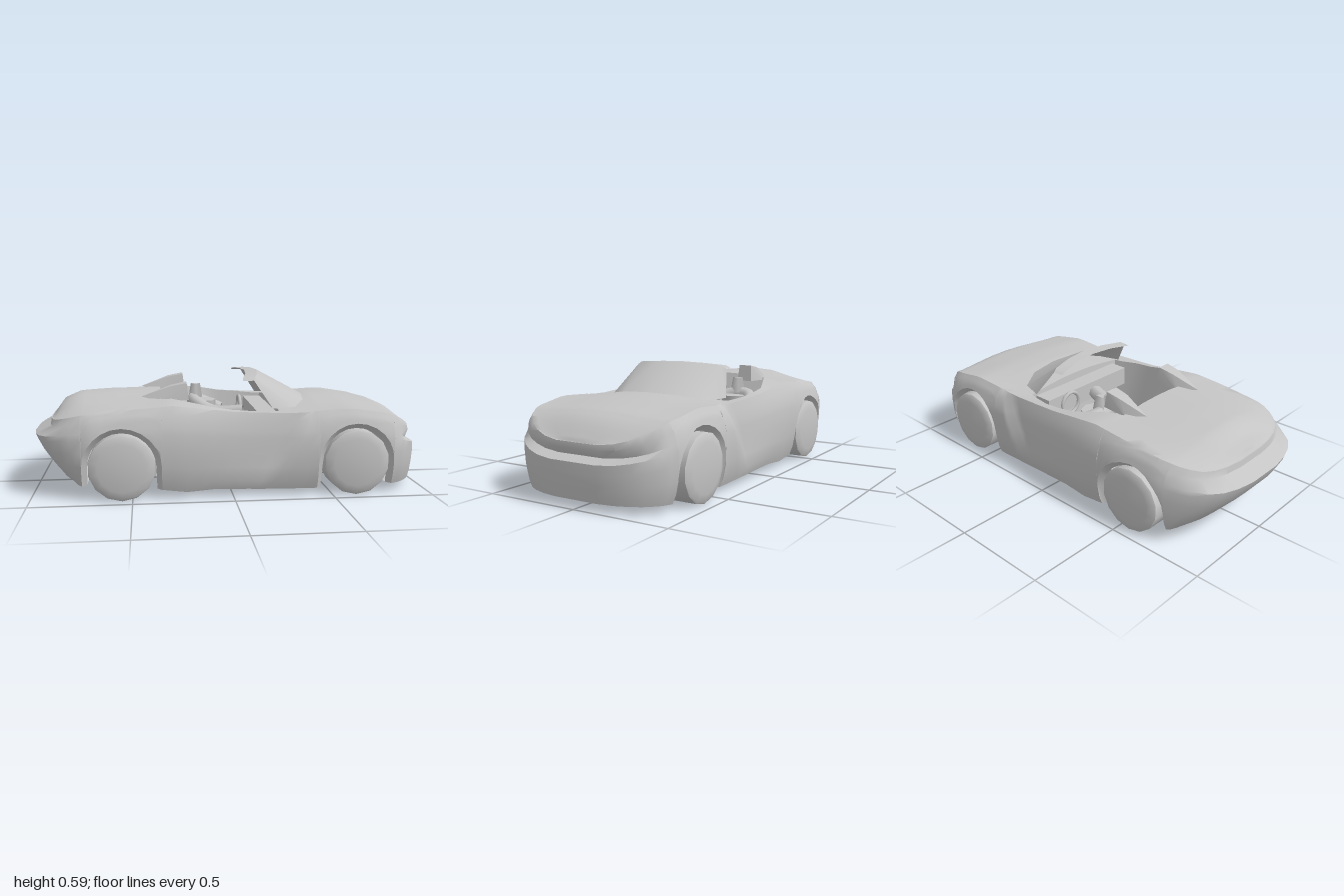
import * as THREE from 'three';
import { toCreasedNormals } from 'three/addons/utils/BufferGeometryUtils.js';

const paint = new THREE.MeshStandardMaterial({ color: 0xc4c4c4, side: THREE.DoubleSide });
paint.name = 'silver grey';

const V = (x, y, z) => new THREE.Vector3(x, y, z);

// Piecewise linear curve through [x, value] knots
function along(knots, x) {
  if (x <= knots[0][0]) return knots[0][1];
  for (let i = 1; i < knots.length; i++) {
    const [x0, a] = knots[i - 1], [x1, b] = knots[i];
    if (x <= x1) return a + (b - a) * (x - x0) / (x1 - x0);
  }
  return knots[knots.length - 1][1];
}

function mesh(name, geometry, x = 0, y = 0, z = 0) {
  const m = new THREE.Mesh(geometry, paint);
  m.name = name;
  m.position.set(x, y, z);
  return m;
}

function quadMesh(name, quads, crease = 0.8) {
  const pos = [];
  for (const [a, b, c, d] of quads)
    for (const p of [a, b, c, a, c, d]) pos.push(p.x, p.y, p.z);
  const g = new THREE.BufferGeometry();
  g.setAttribute('position', new THREE.Float32BufferAttribute(pos, 3));
  return mesh(name, toCreasedNormals(g, crease));
}

// Body curves along the length (nose at +x)
const halfWidth = [[-1, .1], [-.985, .2], [-.96, .28], [-.92, .345], [-.86, .39], [-.8, .42], [-.7, .452], [-.45, .46],
  [-.2, .455], [0, .45], [.3, .447], [.62, .452], [.76, .448], [.83, .432], [.88, .40], [.93, .345], [.96, .29], [.985, .22], [1, .13]];
const shoulder = [[-1, .37], [-.85, .40], [-.7, .425], [-.5, .445], [-.3, .46], [-.2, .45], [0, .425], [.2, .413],
  [.4, .42], [.6, .432], [.8, .40], [.9, .36], [1, .295]];
const haunch = [[-.8, 0], [-.5, .012], [-.3, .018], [0, .004], [.2, 0]];
const deck = [[-1, .385], [-.92, .45], [-.8, .48], [-.6, .49], [-.35, .49], [.24, .44], [.45, .457], [.6, .45], [.8, .42], [.9, .385], [1, .305]];
const sill = [[-.75, .07], [-.7, .06], [-.35, .045], [-.23, .03], [-.1, .04], [.4, .03], [.82, .04]];
// Section: height fractions and width factors up the side, then deck factors
const rise = [0, .12, .3, .5, .68, .76, .9, 1];
const side = [[0, .92], [.12, .96], [.3, .99], [.5, 1], [.68, .995], [.76, .98], [.9, .94], [1, .88]];
const crown = [0, .5, .9, 1];
const dentDepth = [0, 0, .6, 1, 1, .9, .6, 0];
const opening = [[-.6, .8], [-.35, .57], [-.1, .8], [.1, .8], [.24, .73], [.4, .8]];
// How far each row reaches at the nose and the tail
const frontReach = [.985, .99, .995, 1, 1, .945, .972, .97, .967, .965, .963, .963];
const rearReach = [.80, .86, .91, .96, .99, 1, .92, .915, .91, .905, .9, .9];
const wheels = [-.55, .62], WHEEL_Y = .165, ARCH = .195, LINER = .168;
const OPEN_BACK = -.35, OPEN_FRONT = .24, LIP = 9;

// Closed ring; inner is the [x, y] of the turned-in lower edge
function section(s, bottom, inner) {
  const w = along(halfWidth, s), top = along(shoulder, s), mid = along(deck, s), low = along(sill, s);
  const dent = along([[-.25, 0], [0, .018], [.24, .03], [.285, 0]], s);
  const slant = along([[.05, 0], [.24, .2], [.285, .2], [.42, 0]], s);
  const half = frontReach.map((reach, v) => {
    let x = s, y, z;
    if (v < 8) {
      y = bottom + (top - bottom) * rise[v];
      z = w * along(side, (y - low) / (top - low)) - dent * dentDepth[v];
      x += slant * (rise[v] - .5);
    } else {
      y = top + (mid - top) * crown[v - 8] + (v === 8 ? along(haunch, s) : 0);
      z = w * [along(opening, s), .5, .25, 0][v - 8];
    }
    if (s > .82) x = .82 + (s - .82) * (reach - .82) / .18;
    if (s < -.75) x = -.75 + (s + .75) * (rearReach[v] - .75) / .25;
    return V(x, y, z);
  });
  const edge = half[0];
  half.unshift(inner ? V(inner[0], inner[1], edge.z - .03) : V(edge.x, edge.y, edge.z - .03));
  return [...half, ...half.slice(0, -1).reverse().map(p => V(p.x, p.y, -p.z))];
}

// Stations: plain ones follow the sill, arch ones follow the wheel opening
function buildStations() {
  const list = [];
  const add = (s, y, inner, hollow = false) => list.push({ s, hollow, ring: section(s, y, inner) });
  const plain = xs => xs.forEach(x => add(x, along(sill, x)));
  const arch = cx => {
    const foot = x => add(x, along(sill, x), [cx + (x - cx) * .88, along(sill, x)]);
    foot(cx - ARCH);
    for (let i = 0; i <= 12; i++) {
      const a = Math.PI * (1 - i / 12), c = Math.cos(a), d = Math.sin(a);
      add(cx + ARCH * c, WHEEL_Y + ARCH * d, [cx + LINER * c, WHEEL_Y + LINER * d], true);
    }
    foot(cx + ARCH);
  };
  plain([-1, -.985, -.96, -.92, -.86, -.8]);
  arch(wheels[0]);
  plain([OPEN_BACK, -.3, -.23, -.1, 0, .1, .2, OPEN_FRONT, .285, .33, .38]);
  arch(wheels[1]);
  plain([.85, .88, .93, .96, .985, 1]);
  return list;
}

function buildBody() {
  const st = buildStations(), body = [], tub = [], n = st[0].ring.length, far = n - 1 - LIP;
  // Tub floor is shorter and narrower than the opening, so its walls slope
  const drop = p => V(.22 + (p.x - OPEN_FRONT) * .75, .15, p.z * .9);
  for (let i = 0; i + 1 < st.length; i++) {
    const a = st[i].ring, b = st[i + 1].ring;
    const open = st[i].s >= OPEN_BACK && st[i + 1].s <= OPEN_FRONT;
    const hollow = st[i].hollow || st[i + 1].hollow;
    for (let j = 0; j < n; j++) {
      if (open && j >= LIP && j < far) continue;
      if (hollow && j === n - 1) continue; // the shell is open below between the wheels
      const k = (j + 1) % n;
      body.push([a[j], b[j], b[k], a[k]]);
    }
    // Cockpit walls and floor
    if (open) {
      const loop = r => [r[LIP], drop(r[LIP]), drop(r[far]), r[far]];
      const p = loop(a), q = loop(b);
      for (let j = 0; j < 3; j++) tub.push([p[j], p[j + 1], q[j + 1], q[j]]);
    }
  }
  // Tail and nose closing strips, then the cockpit bulkheads
  const t = st[0].ring, f = st[st.length - 1].ring;
  for (let v = 0, m = n - 1; v < m; v++, m--)
    body.push([t[v], t[v + 1], t[m - 1], t[m]], [f[m], f[m - 1], f[v + 1], f[v]]);
  for (const x of [OPEN_BACK, OPEN_FRONT]) {
    const r = st.find(o => o.s === x).ring;
    for (let j = LIP; j < far; j++) tub.push([r[j], drop(r[j]), drop(r[j + 1]), r[j + 1]]);
  }
  return [quadMesh('bodyShell', body), quadMesh('cockpitTub', tub)];
}

// Windscreen with side wings swept back, and a header strip along its top
function buildScreen() {
  const base = [V(.42, .455, 0), V(.395, .447, .17), V(.33, .425, .285), V(.21, .425, .322)];
  const top = [V(.17, .59, 0), V(.158, .586, .13), V(.13, .577, .25), V(.12, .562, .276)];
  const back = [V(.105, .587, 0), V(.095, .583, .13), V(.068, .574, .245), V(.065, .561, .268)];
  const full = r => [...r.slice(1).reverse().map(p => V(p.x, p.y, -p.z)), ...r];
  const [b, t, h] = [base, top, back].map(full), glass = [], header = [];
  for (let i = 0; i + 1 < b.length; i++) {
    glass.push([b[i], b[i + 1], t[i + 1], t[i]]);
    header.push([t[i], t[i + 1], h[i + 1], h[i]]);
  }
  return [quadMesh('windscreen', glass), quadMesh('windscreenHeader', header)];
}

export function createModel() {
  const car = new THREE.Group();
  car.name = 'roadster';
  car.add(...buildBody(), ...buildScreen());

  // Wheels with a slightly domed outer face
  const profile = [[0, -.075], [.165, -.075], [.165, .06], [.157, .066], [.12, .075], [0, .078]];
  const tyre = toCreasedNormals(new THREE.LatheGeometry(
    profile.map(p => new THREE.Vector2(...p)), 14).rotateX(Math.PI / 2), .6);
  for (const x of wheels) for (const dir of [1, -1]) {
    const w = mesh('wheel', tyre, x, WHEEL_Y, dir * .383);
    if (dir < 0) w.rotation.y = Math.PI;
    car.add(w);
  }

  // Headrest fairings: wedges that rise toward the cockpit
  for (const dir of [1, -1]) {
    const z = dir * .205, tip = V(-.45, .48, z);
    const p = (x, y, dz) => V(x, y, z + dz);
    const a = p(-.35, .46, -.045), b = p(-.35, .46, .045), c = p(-.21, .465, -.042), d = p(-.21, .465, .042);
    const e = p(-.22, .55, -.035), f = p(-.22, .55, .035), g = p(-.3, .535, -.03), h = p(-.3, .535, .03);
    car.add(quadMesh('headrestFairing', [
      [c, e, f, d], [e, g, h, f], [g, tip, tip, h], [a, tip, g, g], [b, h, tip, tip],
      [a, g, e, c], [b, d, f, h], [a, c, d, b]], .3));
  }

  // Dashboard and steering wheel
  car.add(mesh('dashboard', new THREE.BoxGeometry(.1, .1, .6), .19, .35, 0));
  const rim = mesh('steeringWheel', new THREE.TorusGeometry(.06, .01, 6, 14), .1, .36, -.18);
  rim.rotation.y = Math.PI / 2;
  car.add(rim);

  // Driver: torso, neck and arms reaching forward
  car.add(mesh('driverTorso', new THREE.CylinderGeometry(.08, .06, .24, 8), -.11, .28, -.2));
  car.add(mesh('driverNeck', new THREE.CylinderGeometry(.03, .045, .08, 3), -.145, .45, -.2));
  const arms = new THREE.CatmullRomCurve3([V(.0, .33, -.28), V(-.07, .36, -.3), V(-.14, .39, -.27),
    V(-.16, .4, -.19), V(-.13, .38, -.11), V(-.05, .35, -.04), V(.1, .36, .01)]);
  car.add(mesh('driverArms', new THREE.TubeGeometry(arms, 18, .038, 8)));
  return car;
}
